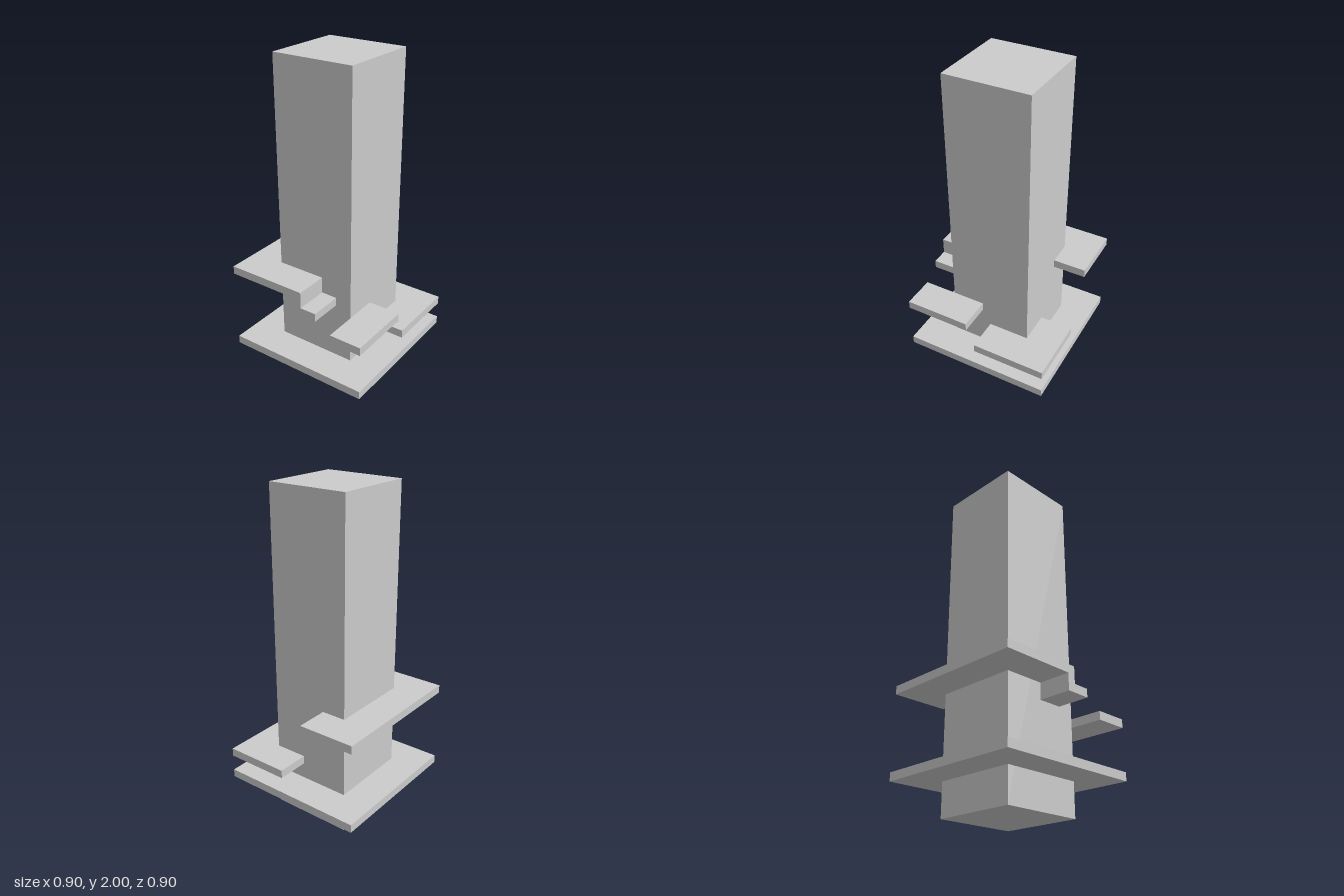
import * as THREE from 'three';

const material = new THREE.MeshStandardMaterial({ color: 0xcccccc, flatShading: true });
const W = 0.25; // half width of the tower
const R = 0.45; // outer reach of the ledges
const T = 0.05; // ledge thickness

function add(group, name, geometry) {
  const mesh = new THREE.Mesh(geometry, material);
  mesh.name = name;
  group.add(mesh);
}

// Box given by its minimum and maximum corners
function box(group, name, [x0, y0, z0], [x1, y1, z1]) {
  const geometry = new THREE.BoxGeometry(x1 - x0, y1 - y0, z1 - z0);
  geometry.translate((x0 + x1) / 2, (y0 + y1) / 2, (z0 + z1) / 2);
  add(group, name, geometry);
}

// Flat slab from a plan outline of [x, z] points, with its underside at y
function slab(group, name, y, outline, hole) {
  const toPlan = (points) => points.map(([x, z]) => new THREE.Vector2(x, -z));
  const shape = new THREE.Shape(toPlan(outline));
  if (hole) shape.holes.push(new THREE.Path(toPlan(hole)));
  const geometry = new THREE.ExtrudeGeometry(shape, { depth: T, bevelEnabled: false });
  geometry.rotateX(-Math.PI / 2).translate(0, y, 0);
  add(group, name, geometry);
}

const square = (h) => [[-h, -h], [h, -h], [h, h], [-h, h]];

export function createModel() {
  const model = new THREE.Group();
  model.name = 'towerWithLedges';

  box(model, 'tower', [-W, 0, -W], [W, 2, W]);

  // Full ring around the base
  slab(model, 'baseLedge', 0.2, square(R), square(W));

  // L-shaped ledge wrapping the front left corner
  slab(model, 'cornerLedge', 0.35,
    [[0, W], [W, W], [W, 0.05], [R, 0.05], [R, R], [0, R]]);

  // Straight ledge on the front
  box(model, 'frontLedge', [-R, 0.5, W], [-0.05, 0.5 + T, R]);

  // Step and riser climbing to the upper ledge
  box(model, 'step', [-R, 0.6, 0], [-W, 0.6 + T, 0.15]);
  box(model, 'riser', [-R, 0.6 + T, 0], [-W, 0.7, 0.05]);

  // U-shaped ledge around the back
  slab(model, 'upperLedge', 0.7,
    [[-R, 0.05], [-R, -R], [R, -R], [R, -0.1], [W, -0.1], [W, -W], [-W, -W], [-W, 0.05]]);

  return model;
}
